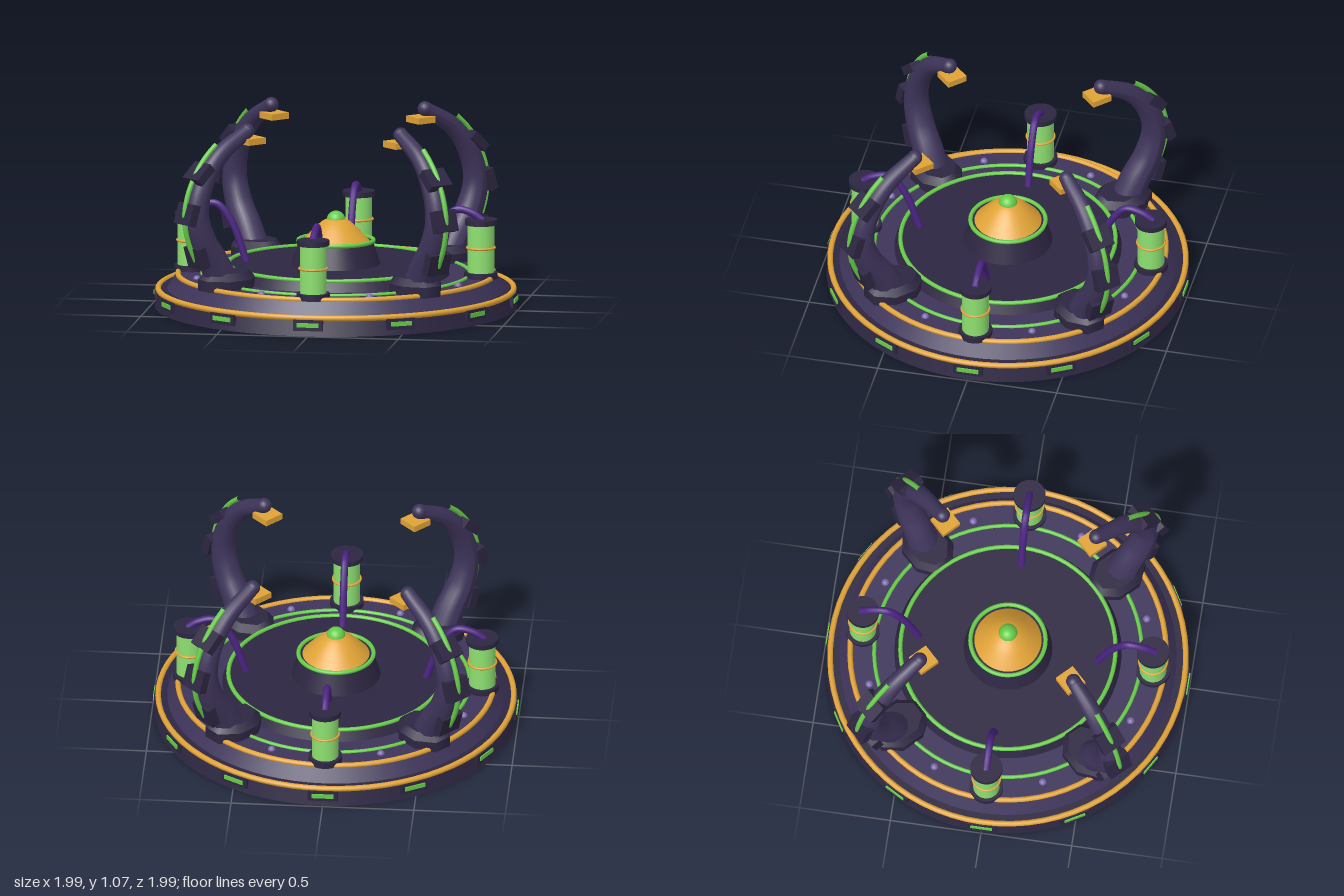
import * as THREE from 'three';

const mat = (color) => new THREE.MeshStandardMaterial({ color });
const DARK = mat(0x2d2642), PURPLE = mat(0x3e345a), GOLD = mat(0xe0a236), GREEN = mat(0x66cc48);
const GLASS = mat(0x8ee070), HOSE = mat(0x4a2380), STUD = mat(0x7d6aae);

function add(parent, name, geometry, material, x = 0, y = 0, z = 0) {
  const mesh = new THREE.Mesh(geometry, material);
  mesh.name = name;
  mesh.position.set(x, y, z);
  parent.add(mesh);
  return mesh;
}

// Upright (tapered) cylinder standing between two heights
function drum(parent, name, material, rBottom, rTop, y0, y1, x = 0, sides = 64) {
  return add(parent, name, new THREE.CylinderGeometry(rTop, rBottom, y1 - y0, sides), material, x, (y0 + y1) / 2, 0);
}

// Horizontal ring
function ring(parent, name, material, radius, tube, y, x = 0) {
  const geometry = new THREE.TorusGeometry(radius, tube, 10, 72).rotateX(Math.PI / 2);
  return add(parent, name, geometry, material, x, y, 0);
}

// Repeats a part around the centre; each copy is built facing +x
function around(parent, name, count, start, build) {
  for (let i = 0; i < count; i++) {
    const g = new THREE.Group();
    g.name = name;
    g.rotation.y = start + (i / count) * Math.PI * 2;
    build(g);
    parent.add(g);
  }
}

const curveOf = (points) => new THREE.CatmullRomCurve3(points.map(([x, y]) => new THREE.Vector3(x, y, 0)));

// Tube whose radius follows radiusAt(t)
function taperedTube(curve, radiusAt, segments, sides) {
  const geometry = new THREE.TubeGeometry(curve, segments, 1, sides);
  const p = geometry.attributes.position, v = new THREE.Vector3();
  for (let i = 0; i < p.count; i++) {
    const t = Math.floor(i / (sides + 1)) / segments, c = curve.getPointAt(t);
    v.fromBufferAttribute(p, i).sub(c).multiplyScalar(radiusAt(t)).add(c);
    p.setXYZ(i, v.x, v.y, v.z);
  }
  geometry.computeVertexNormals();
  return geometry;
}

const clawCurve = curveOf([[0.76, 0.2], [0.82, 0.32], [0.9, 0.45], [0.94, 0.6], [0.9, 0.76], [0.79, 0.91], [0.6, 1.03]]);
const clawRadius = (t) => 0.09 - 0.05 * t;

// Point on the outer side of the claw, with the lean of the claw there
function clawOuter(t, lift) {
  const c = clawCurve.getPointAt(t), d = clawCurve.getTangentAt(t), r = clawRadius(t) + lift;
  return { x: c.x + d.y * r, y: c.y - d.x * r, lean: Math.atan2(d.y, d.x) - Math.PI / 2 };
}

function buildClaw(g) {
  const foot = drum(g, 'clawFoot', DARK, 0.15, 0.15, 0.17, 0.23, 0.735, 8);
  const footTop = drum(g, 'clawFootBevel', DARK, 0.15, 0.115, 0.23, 0.27, 0.735, 8);
  for (const m of [foot, footTop]) {
    m.geometry.rotateY(Math.PI / 8);
    m.scale.set(1.15, 1, 0.9);
  }
  add(g, 'clawArm', taperedTube(clawCurve, clawRadius, 40, 14), PURPLE);
  add(g, 'clawTip', new THREE.SphereGeometry(0.041, 16, 12), PURPLE, 0.6, 1.03, 0);
  add(g, 'clawPad', new THREE.BoxGeometry(0.115, 0.035, 0.115), GOLD, 0.573, 0.975, 0);
  // Overlapping armour plates, flared at their lower ends
  for (const t of [0.23, 0.44, 0.64]) {
    const o = clawOuter(t, -0.005);
    const plate = add(g, 'clawPlate', new THREE.BoxGeometry(0.05, 0.12, 0.14), DARK, o.x, o.y, 0);
    plate.rotation.z = o.lean + 0.28;
  }
  const strip = [];
  for (let i = 0; i <= 8; i++) {
    const o = clawOuter(0.22 + i * 0.073, 0.013);
    strip.push([o.x, o.y]);
  }
  add(g, 'clawLightStrip', new THREE.TubeGeometry(curveOf(strip), 32, 0.014, 8), GREEN);
}

function buildCanister(g) {
  drum(g, 'canisterBase', DARK, 0.092, 0.092, 0.175, 0.21, 0.8, 28);
  drum(g, 'canisterGlass', GLASS, 0.073, 0.073, 0.21, 0.475, 0.8, 28);
  drum(g, 'canisterCap', DARK, 0.088, 0.088, 0.473, 0.502, 0.8, 28);
  ring(g, 'canisterBand', GOLD, 0.075, 0.007, 0.345, 0.8);
  const path = curveOf([[0.81, 0.495], [0.75, 0.535], [0.66, 0.55], [0.575, 0.45], [0.49, 0.22]]);
  add(g, 'hose', new THREE.TubeGeometry(path, 32, 0.02, 10), HOSE);
}

export function createModel() {
  const model = new THREE.Group();
  model.name = 'platform';

  // Stepped round base
  drum(model, 'lowerTier', DARK, 0.99, 0.965, 0, 0.1, 0, 72);
  drum(model, 'middleTier', PURPLE, 0.92, 0.87, 0.1, 0.18, 0, 72);
  drum(model, 'upperTier', DARK, 0.62, 0.595, 0.18, 0.235, 0, 72);
  ring(model, 'lowerTrim', GOLD, 0.97, 0.016, 0.098);
  ring(model, 'middleTrim', GOLD, 0.862, 0.015, 0.18);
  ring(model, 'outerLightRing', GREEN, 0.73, 0.011, 0.182);
  ring(model, 'innerLightRing', GREEN, 0.587, 0.012, 0.237);

  // Rim lights and floor studs
  around(model, 'rimLight', 12, 0, (g) => {
    add(g, 'lightHousing', new THREE.BoxGeometry(0.05, 0.06, 0.165), DARK, 0.965, 0.06, 0);
    add(g, 'lightPanel', new THREE.BoxGeometry(0.03, 0.024, 0.12), GREEN, 0.982, 0.062, 0);
  });
  around(model, 'floorStud', 8, Math.PI / 8, (g) => {
    add(g, 'stud', new THREE.SphereGeometry(0.021, 12, 8), STUD, 0.78, 0.18, 0);
  });

  // Central pedestal with domed core
  drum(model, 'pedestal', DARK, 0.242, 0.2, 0.235, 0.362, 0, 48);
  ring(model, 'pedestalLightRing', GREEN, 0.205, 0.012, 0.364);
  const dome = [[0.185, 0.36], [0.165, 0.382], [0.12, 0.43], [0.078, 0.468], [0.04, 0.488], [0, 0.492]];
  add(model, 'coreDome', new THREE.LatheGeometry(dome.map(([x, y]) => new THREE.Vector2(x, y)), 48), GOLD);
  add(model, 'coreOrb', new THREE.SphereGeometry(0.052, 20, 14), GREEN, 0, 0.475, 0);

  around(model, 'canister', 4, 0, buildCanister);
  around(model, 'claw', 4, Math.PI / 4, buildClaw);
  return model;
}
